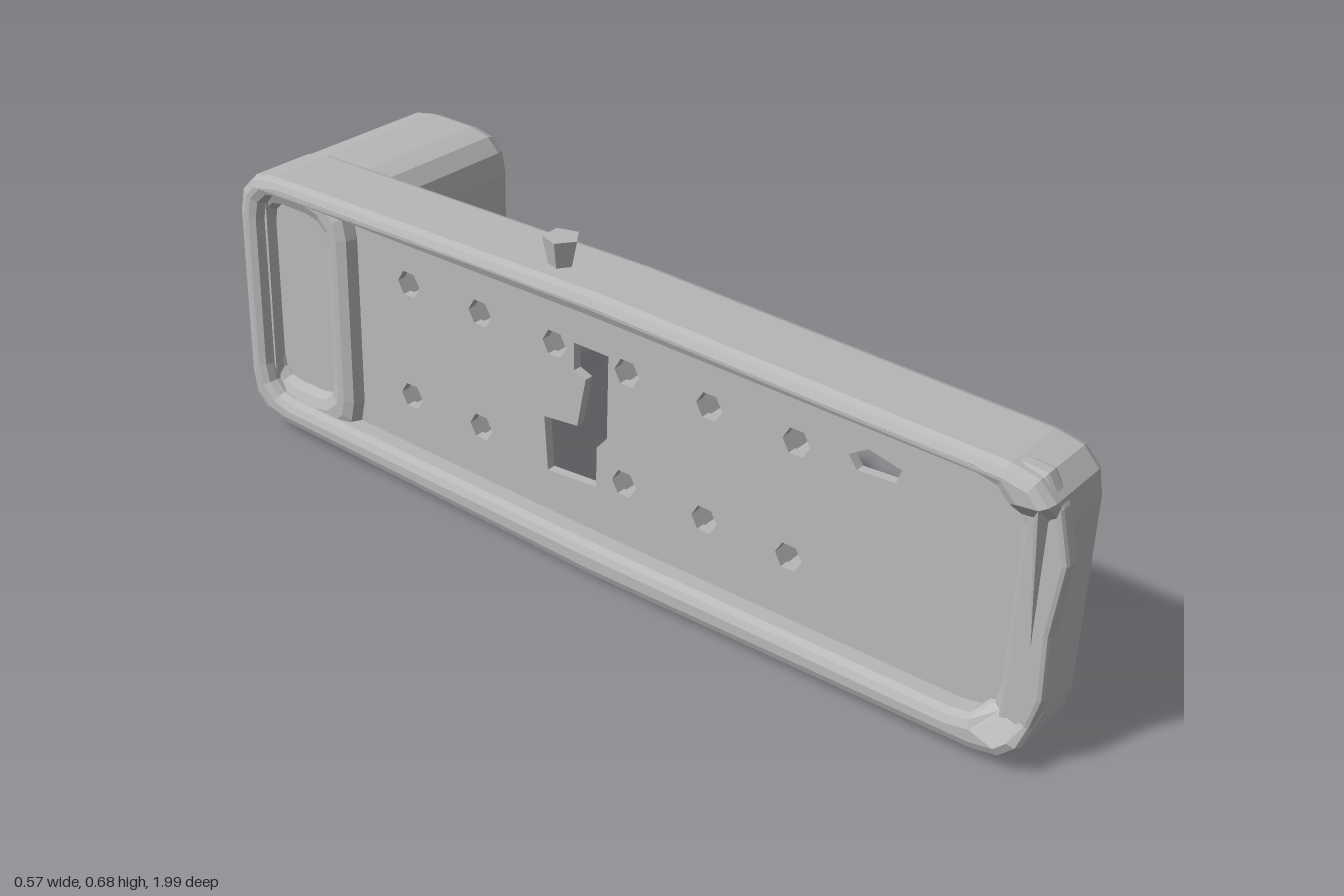
import * as THREE from 'three';

const grey = new THREE.MeshStandardMaterial({ color: 0xb8b8b8, flatShading: true, side: THREE.DoubleSide });
grey.name = 'plain grey';

// Rounded rectangle in the side plane (u = -z, y); bow swells the long edges.
function outline(Type, u0, u1, y0, y1, r, bow = 0) {
  const s = new Type(), m = (u0 + u1) / 2;
  s.moveTo(u0 + r, y0);
  s.lineTo(m, y0 - bow);
  s.lineTo(u1 - r, y0);
  s.quadraticCurveTo(u1, y0, u1, y0 + r);
  s.lineTo(u1, y1 - r);
  s.quadraticCurveTo(u1, y1, u1 - r, y1);
  s.lineTo(m, y1 + bow);
  s.lineTo(u0 + r, y1);
  s.quadraticCurveTo(u0, y1, u0, y1 - r);
  s.lineTo(u0, y0 + r);
  s.quadraticCurveTo(u0, y0, u0 + r, y0);
  return s;
}

const polygon = (Type, pts) => new Type(pts.map(([z, y]) => new THREE.Vector2(-z, y)));

// Extrude a side-plane shape from x0 to x1, keeping its size at the bevel.
function slab(shape, x0, x1, bevel) {
  const g = new THREE.ExtrudeGeometry(shape, {
    depth: x1 - x0 - 2 * bevel, curveSegments: 3, bevelEnabled: bevel > 0,
    bevelThickness: bevel, bevelSize: bevel, bevelOffset: -bevel, bevelSegments: 2,
  });
  return g.rotateY(Math.PI / 2).translate(x0 + bevel, 0, 0);
}

export function createModel() {
  const model = new THREE.Group();
  model.name = 'bracket';
  const body = new THREE.Group();
  body.name = 'tiltedBody';
  const add = (name, geometry) => {
    const mesh = new THREE.Mesh(geometry, grey);
    mesh.name = name;
    body.add(mesh);
    return mesh;
  };

  // Long rim, open on both sides; its front wall is cut back on one side
  const rim = outline(THREE.Shape, -0.97, 0.975, 0.025, 0.61, 0.1, 0.018);
  rim.holes.push(outline(THREE.Path, -0.885, 0.92, 0.085, 0.57, 0.07, 0.008));
  const rimGeometry = slab(rim, -0.095, 0.095, 0.022);
  const p = rimGeometry.attributes.position;
  for (let i = 0; i < p.count; i++) {
    if (p.getZ(i) > 0.85 && p.getX(i) < 0 && p.getY(i) > 0.1 && p.getY(i) < 0.54) {
      p.setX(i, p.getX(i) + 0.045);
    }
  }
  add('rim', rimGeometry);

  // Ragged lip on the front end
  add('frontLip', slab(polygon(THREE.Shape, [
    [0.9, 0.05], [0.955, 0.07], [0.98, 0.17], [0.975, 0.3], [0.99, 0.45],
    [0.965, 0.55], [0.93, 0.605], [0.86, 0.61], [0.9, 0.5], [0.9, 0.15],
  ]), -0.065, -0.025, 0.01));

  // Pin positions
  const pins = [];
  for (const z of [0.43, 0.235, 0.04, -0.14, -0.335, -0.53]) {
    pins.push([z, 0.46]);
    if (z !== -0.14) pins.push([z, z > 0 ? 0.215 : 0.2]);
  }

  // Inner plate with pin holes, a slot and a broken-out middle
  const plate = outline(THREE.Shape, -0.91, 0.94, 0.06, 0.585, 0.07);
  for (const [z, y] of pins) {
    const hole = new THREE.Path();
    for (let i = 0; i < 6; i++) {
      const a = i * Math.PI / 3, c = [-z + 0.03 * Math.cos(a), y + 0.03 * Math.sin(a)];
      if (i) hole.lineTo(...c); else hole.moveTo(...c);
    }
    hole.closePath();
    plate.holes.push(hole);
  }
  plate.holes.push(
    polygon(THREE.Path, [[0.65, 0.49], [0.58, 0.505], [0.54, 0.48], [0.56, 0.455], [0.64, 0.46]]),
    polygon(THREE.Path, [[-0.005, 0.48], [-0.09, 0.48], [-0.09, 0.42], [-0.06, 0.41], [-0.08, 0.3],
      [-0.165, 0.29], [-0.155, 0.17], [-0.03, 0.18], [-0.03, 0.27], [-0.005, 0.3]]),
  );
  add('innerPlate', slab(plate, -0.038, -0.018, 0));

  // Hollow tapered pins, open through the plate
  const pinProfile = [[0.045, 0], [0.043, 0.09], [0.03, 0.253], [0.018, 0.27], [0, 0.272]];
  const pinGeometry = new THREE.LatheGeometry(pinProfile.map(([r, h]) => new THREE.Vector2(r, h)), 6)
    .rotateZ(-Math.PI / 2);
  for (const [z, y] of pins) add('pin', pinGeometry).position.set(-0.028, y, z);

  // Hollow arm at the back, open at its outer end, its root standing proud of the plate
  const arm = outline(THREE.Shape, 0.675, 0.97, 0.045, 0.607, 0.09);
  arm.holes.push(outline(THREE.Path, 0.75, 0.92, 0.115, 0.535, 0.05));
  add('arm', slab(arm, -0.07, 0.435, 0.03));

  // Small flared knob on top
  add('knob', new THREE.CylinderGeometry(0.038, 0.025, 0.06, 5)).position.set(-0.018, 0.652, -0.14);

  // The whole body is turned and leaned slightly
  body.position.set(-0.105, 0.32, 0);
  body.rotation.set(0, 0.083, -0.045);
  body.children.forEach((m) => { m.position.y -= 0.32; });
  model.add(body);
  return model;
}
